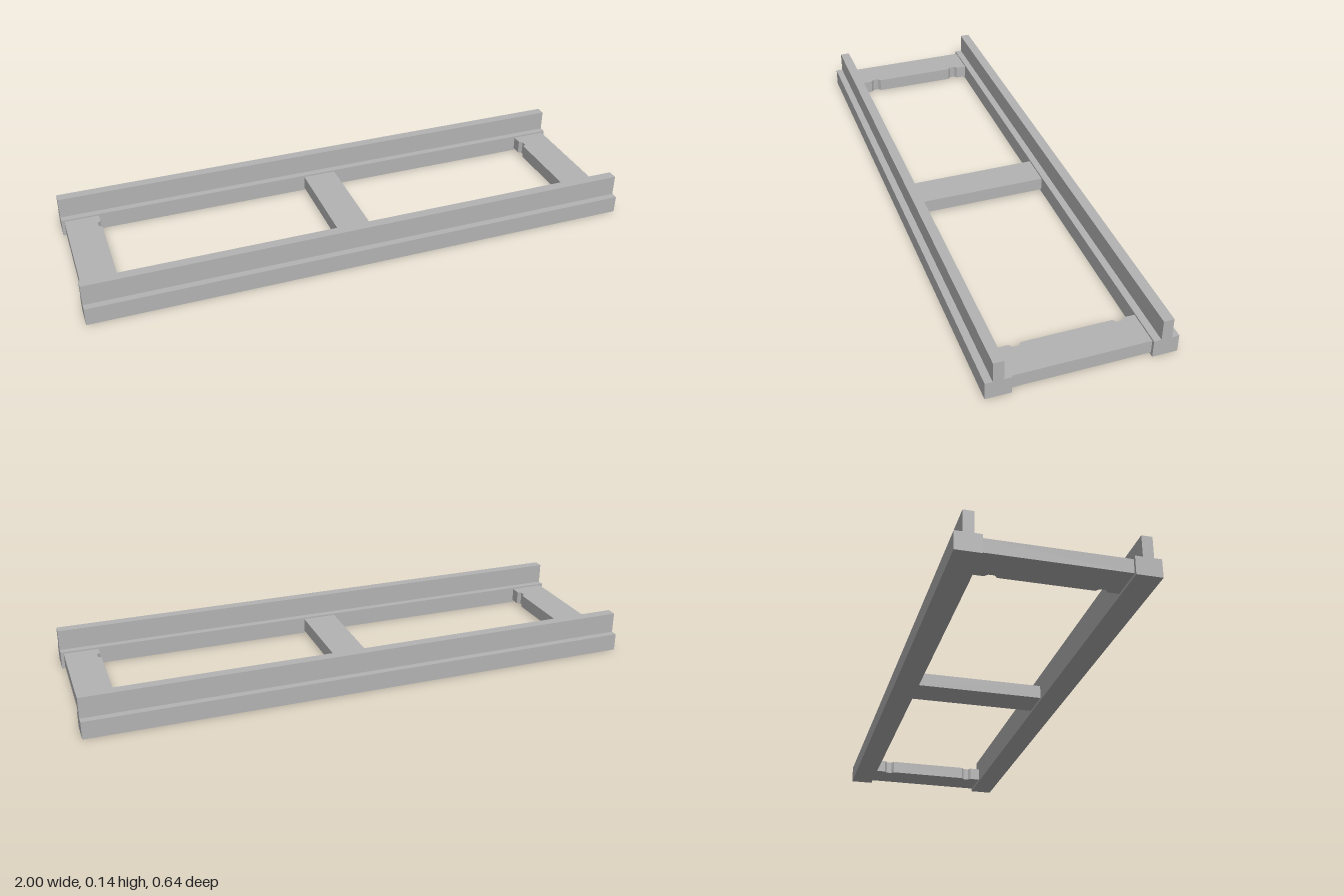
import * as THREE from 'three';

const grey = new THREE.MeshStandardMaterial({ color: 0xb3b3b3 });
grey.name = 'plainGrey';

function extrude(points, depth) {
  const shape = new THREE.Shape(points.map(([x, y]) => new THREE.Vector2(x, y)));
  return new THREE.ExtrudeGeometry(shape, { depth, bevelEnabled: false });
}

function addPart(group, name, geometry) {
  const mesh = new THREE.Mesh(geometry, grey);
  mesh.name = name;
  group.add(mesh);
  return mesh;
}

export function createModel() {
  const model = new THREE.Group();
  model.name = 'railFrame';
  const railInner = 0.233, beamBottom = 0.009, beamHeight = 0.049;

  // Long rails: wide foot with a narrow upright, swept along x
  const foot = 0.0433, web = 0.018, step = 0.064, top = 0.139;
  const railProfile = [
    [-foot, 0], [foot, 0], [foot, step], [web, step],
    [web, top], [-web, top], [-web, step], [-foot, step],
  ];
  for (const side of [1, -1]) {
    const geometry = extrude(railProfile, 2);
    geometry.translate(0, 0, -1);
    geometry.rotateY(Math.PI / 2);
    geometry.translate(0, 0, side * 0.2763);
    addPart(model, side > 0 ? 'frontRail' : 'backRail', geometry);
  }

  // Middle cross beam
  const middle = new THREE.BoxGeometry(0.124, beamHeight, railInner * 2);
  addPart(model, 'middleBeam', middle).position.y = beamBottom + beamHeight / 2;

  // End cross beams, with two shallow notches in the inner edge
  const outer = 0.989, inner = 0.863, cut = 0.875;
  const notch = (c) => [[inner, c - 0.02], [cut, c - 0.01], [cut, c + 0.01], [inner, c + 0.02]];
  const outline = [
    [inner, -railInner], ...notch(-0.175), ...notch(0.175),
    [inner, railInner], [outer, railInner], [outer, -railInner],
  ];
  for (const side of [1, -1]) {
    const geometry = extrude(outline, beamHeight);
    geometry.rotateX(-Math.PI / 2);
    if (side < 0) geometry.rotateY(Math.PI);
    geometry.translate(0, beamBottom, 0);
    addPart(model, side > 0 ? 'leftEndBeam' : 'rightEndBeam', geometry);
  }
  return model;
}
